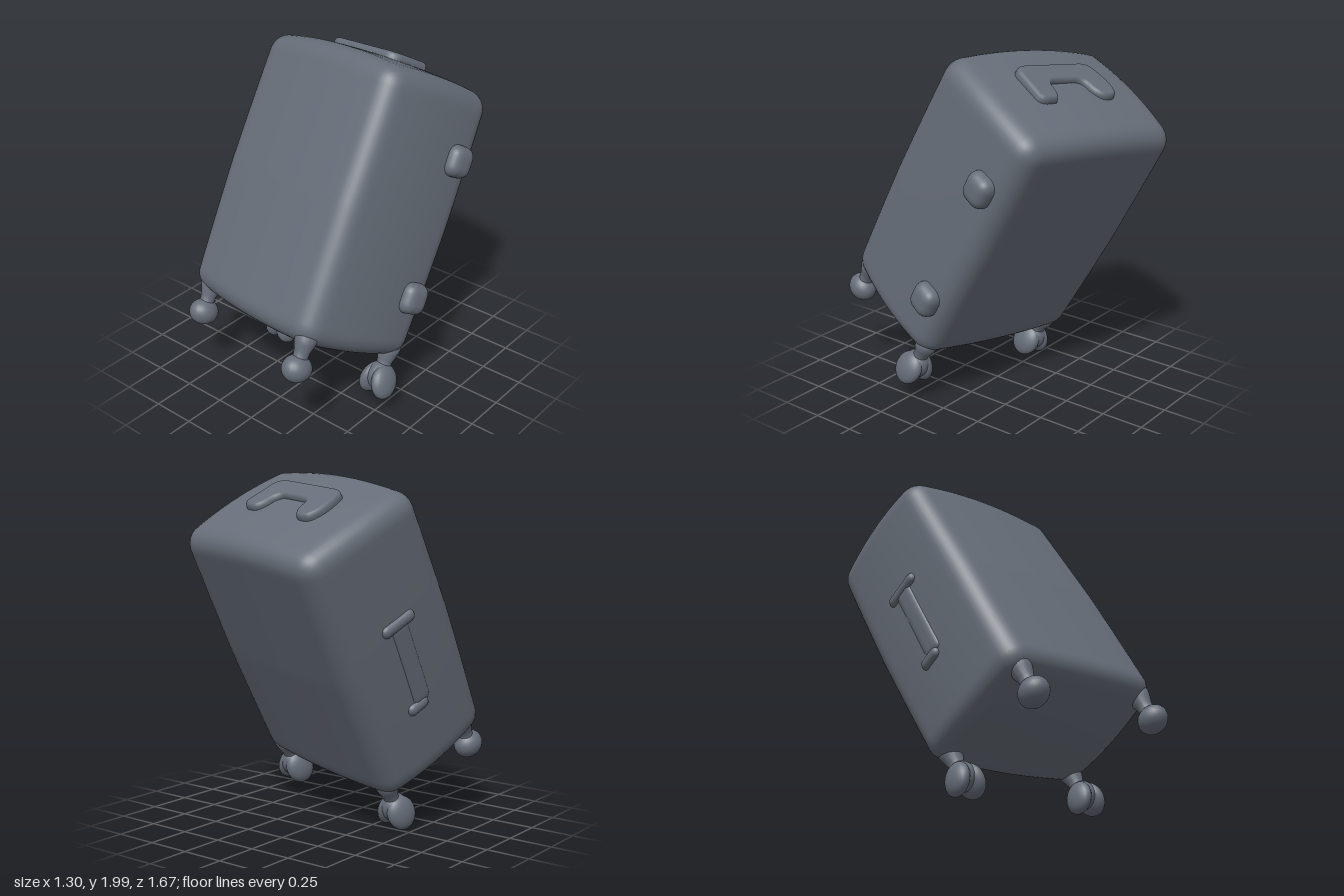
import * as THREE from 'three';
import { mergeVertices } from 'three/addons/utils/BufferGeometryUtils.js';

const slate = new THREE.MeshStandardMaterial({ color: 0x666d78 });
slate.name = 'slate grey';

function part(name, geometry, x = 0, y = 0, z = 0) {
  const mesh = new THREE.Mesh(geometry, slate);
  mesh.name = name;
  mesh.position.set(x, y, z);
  return mesh;
}

// Box with rounded edges and faces that may swell: bulge moves each vertex
function softBox(w, h, d, r, step, bulge) {
  const n = (s) => Math.max(6, Math.round(s / step));
  let geo = new THREE.BoxGeometry(w, h, d, n(w), n(h), n(d));
  geo.deleteAttribute('uv');
  geo.deleteAttribute('normal');
  geo = mergeVertices(geo, 1e-4);
  const half = new THREE.Vector3(w / 2, h / 2, d / 2);
  const core = half.clone().subScalar(r);
  const low = core.clone().negate();
  const pos = geo.attributes.position;
  const p = new THREE.Vector3(), q = new THREE.Vector3();
  for (let i = 0; i < pos.count; i++) {
    p.fromBufferAttribute(pos, i);
    q.copy(p).clamp(low, core);
    p.sub(q).normalize().multiplyScalar(r).add(q);
    if (bulge) bulge(p, half);
    pos.setXYZ(i, p.x, p.y, p.z);
  }
  geo.computeVertexNormals();
  return geo;
}

function ellipsoid(rx, ry, rz) {
  return new THREE.SphereGeometry(1, 24, 16).scale(rx, ry, rz);
}

// Flat U-shaped grip lying on the top face
function gripGeometry() {
  const s = new THREE.Shape();
  s.moveTo(-0.26, 0.1);
  s.quadraticCurveTo(-0.29, 0.02, -0.25, -0.1);
  s.quadraticCurveTo(-0.23, -0.13, -0.19, -0.13);
  s.lineTo(0.2, -0.13);
  s.quadraticCurveTo(0.25, -0.13, 0.26, -0.08);
  s.lineTo(0.26, 0.1);
  s.quadraticCurveTo(0.25, 0.12, 0.22, 0.12);
  s.lineTo(0.18, 0.12);
  s.quadraticCurveTo(0.15, 0.1, 0.15, 0.03);
  s.quadraticCurveTo(0.13, -0.03, 0.08, -0.03);
  s.lineTo(-0.08, -0.03);
  s.quadraticCurveTo(-0.15, -0.02, -0.15, 0.06);
  s.quadraticCurveTo(-0.17, 0.12, -0.21, 0.12);
  s.quadraticCurveTo(-0.25, 0.12, -0.26, 0.1);
  let geo = new THREE.ExtrudeGeometry(s, {
    depth: 0.03, curveSegments: 6, bevelEnabled: true,
    bevelThickness: 0.03, bevelSize: 0.02, bevelSegments: 4,
  });
  geo.rotateX(-Math.PI / 2);
  geo.deleteAttribute('uv');
  geo.deleteAttribute('normal');
  geo = mergeVertices(geo, 1e-4);
  geo.computeVertexNormals();
  return geo;
}

// Caster: short neck with one ball or a splayed pair of wheels
function caster(name, x, z, twin) {
  const g = new THREE.Group();
  g.name = name;
  g.position.set(x, -0.91, z);
  const profile = [[0, 0], [0.05, 0.02], [0.042, 0.07], [0.045, 0.1], [0.058, 0.14], [0.068, 0.18], [0.05, 0.23], [0, 0.25]]
    .map(([r, y]) => new THREE.Vector2(r, y));
  g.add(part('neck', new THREE.LatheGeometry(profile, 20)));
  if (twin) {
    g.add(part('wheelFork', ellipsoid(0.07, 0.085, 0.08), 0, 0.01, 0));
    for (const side of [-1, 1]) {
      const wheel = part('wheel', ellipsoid(0.05, 0.1, 0.09), side * 0.045, -0.015, 0);
      wheel.rotation.z = side * 0.25;
      g.add(wheel);
    }
  } else {
    g.add(part('wheel', ellipsoid(0.078, 0.077, 0.09)));
  }
  return g;
}

export function createModel() {
  const model = new THREE.Group();
  model.name = 'suitcase';

  // The whole case leans back and turns slightly
  const lean = new THREE.Group();
  lean.name = 'leaningCase';
  lean.position.set(-0.03, 1.115, -0.055);
  lean.rotation.set(-0.497, -0.227, 0);
  model.add(lean);

  // Shell: every face crowns gently, the depth narrows at front top and back bottom
  lean.add(part('shell', softBox(1.08, 1.51, 0.82, 0.095, 0.027, (p, h) => {
    const xx = 1 - (p.x / h.x) ** 2;
    const yy = 1 - (p.y / h.y) ** 2;
    const zz = 1 - (p.z / h.z) ** 2;
    const t = p.y / h.y;
    const front = p.z > 0;
    p.x *= 1 + 0.055 * zz + 0.02 * yy;
    p.y *= 1 + (t > 0 ? 0.05 : 0.03) * xx + 0.03 * zz;
    p.z *= 1 + (front ? 0.07 : 0.035) * xx - 0.06 * Math.max(0, front ? t : -t);
  })));

  // Top grip
  lean.add(part('topHandle', gripGeometry(), 0, 0.785, 0.02));

  // Standing feet on one side
  for (const y of [-0.41, 0.385]) {
    lean.add(part('sideFoot', softBox(0.17, 0.18, 0.17, 0.06, 0.02), 0.55, y, -0.25));
  }

  // Low carry handle on the other side
  lean.add(part('sideHandle', softBox(0.08, 0.52, 0.13, 0.035, 0.02), -0.553, -0.07, 0));
  lean.add(part('sideHandleEnd', softBox(0.08, 0.07, 0.24, 0.034, 0.015), -0.563, 0.18, 0));
  lean.add(part('sideHandleEnd', softBox(0.08, 0.07, 0.15, 0.034, 0.015), -0.563, -0.33, -0.04));

  // Wheels
  for (const side of [-1, 1]) {
    const x = 0.015 + side * 0.452;
    lean.add(caster('frontCaster', x, 0.325, false));
    lean.add(caster('backCaster', x, -0.31, true));
  }
  return model;
}
